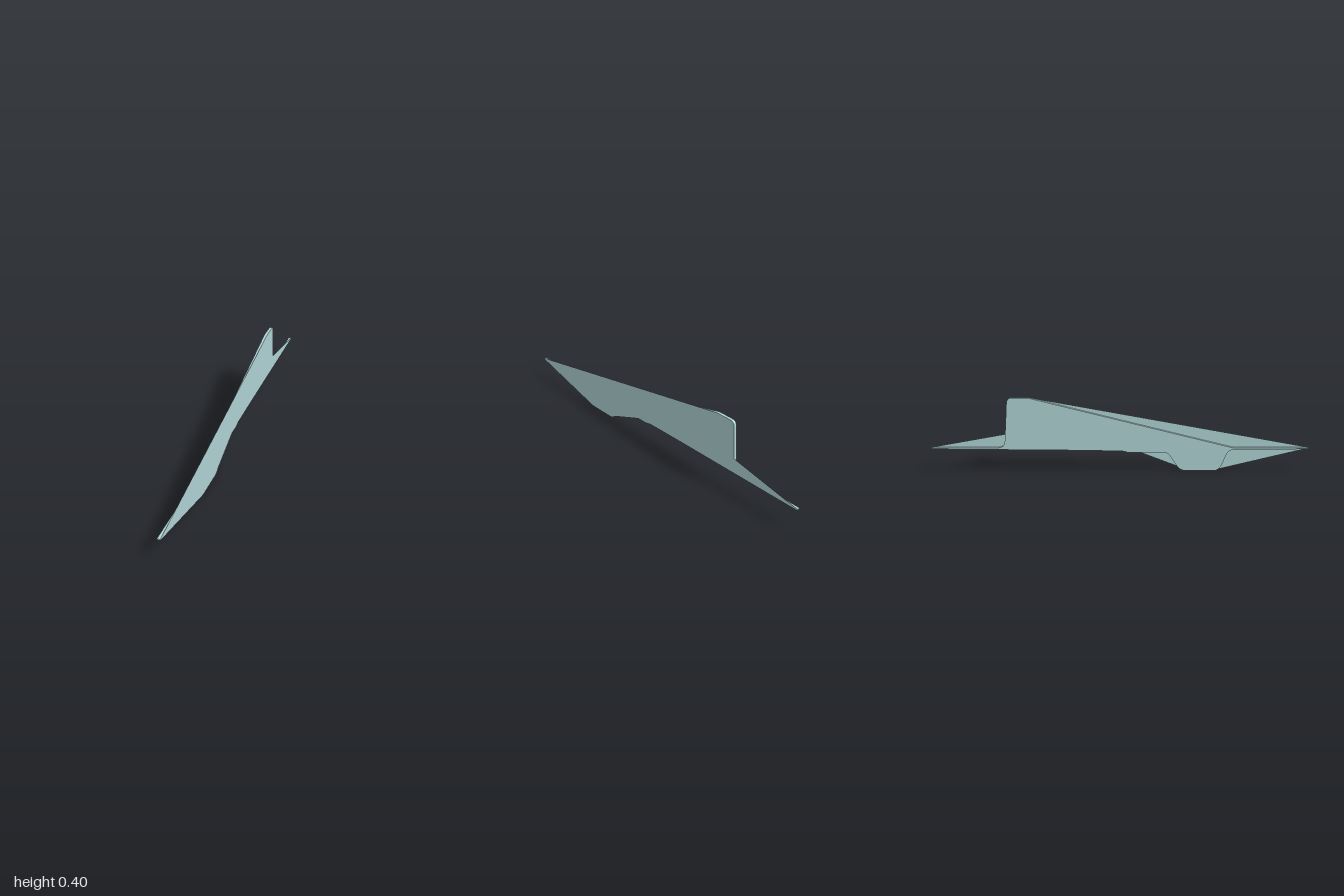
import * as THREE from 'three';

const HALF = 0.008; // half thickness of the blade

// Profiles are drawn as (z, y), then turned so they lie in the side plane.
function profile(build) {
  const s = new THREE.Shape();
  build(s);
  return s;
}

// Underside of the belly, from the back of the notch forward to the chin
function rearCorner(s) {
  s.lineTo(-0.48, 0.397);
  s.lineTo(-0.57, 0.397);
  s.quadraticCurveTo(-0.591, 0.397, -0.594, 0.37);
}

export function createModel() {
  const group = new THREE.Group();
  const paleTeal = new THREE.MeshStandardMaterial({ color: 0xaed2d3, side: THREE.DoubleSide });
  paleTeal.name = 'paleTeal';

  // Solid blade with slim nose, upright fin, slim tail and stepped belly
  const bladeShape = profile((s) => {
    s.moveTo(1, 0.127);
    s.lineTo(0.6, 0.127);
    rearCorner(s);
    s.lineTo(-0.61, 0.165);
    s.quadraticCurveTo(-0.613, 0.126, -0.65, 0.126);
    s.lineTo(-1, 0.126);
    s.lineTo(-1, 0.119);
    s.lineTo(-0.26, 0.113);
    s.lineTo(0.0, 0.109);
    s.quadraticCurveTo(0.03, 0.108, 0.04, 0.1);
    s.lineTo(0.23, 0.1);
    s.quadraticCurveTo(0.255, 0.1, 0.265, 0.085);
    s.lineTo(0.305, 0.025);
    s.quadraticCurveTo(0.318, 0.004, 0.345, 0);
    s.lineTo(0.51, 0);
    s.quadraticCurveTo(0.538, 0.01, 0.545, 0.035);
    s.lineTo(0.565, 0.085);
    s.quadraticCurveTo(0.575, 0.114, 0.6, 0.116);
    s.lineTo(1, 0.12);
  });
  const bladeGeometry = new THREE.ExtrudeGeometry(bladeShape, {
    depth: HALF * 2, bevelEnabled: false, curveSegments: 6,
  });

  // Thin sheet on the left face, spanning the recesses of the blade
  const sheetShape = profile((s) => {
    s.moveTo(1, 0.127);
    rearCorner(s);
    s.lineTo(-0.606, 0.198);
    s.lineTo(-1, 0.126);
    s.lineTo(-1, 0.119);
    s.lineTo(-0.26, 0.113);
    s.lineTo(0.0, 0.109);
    s.lineTo(0.04, 0.1);
    s.lineTo(0.1, 0.1);
    s.lineTo(0.31, 0.019);
    s.quadraticCurveTo(0.32, 0.004, 0.345, 0);
    s.lineTo(0.51, 0);
    s.lineTo(0.53, 0.004);
    s.lineTo(1, 0.12);
  });
  const sheetGeometry = new THREE.ShapeGeometry(sheetShape, 6);

  for (const [name, geometry] of [['blade', bladeGeometry], ['leftSheet', sheetGeometry]]) {
    geometry.rotateY(-Math.PI / 2);
    geometry.translate(HALF, 0, 0);
    const mesh = new THREE.Mesh(geometry, paleTeal);
    mesh.name = name;
    group.add(mesh);
  }
  return group;
}
